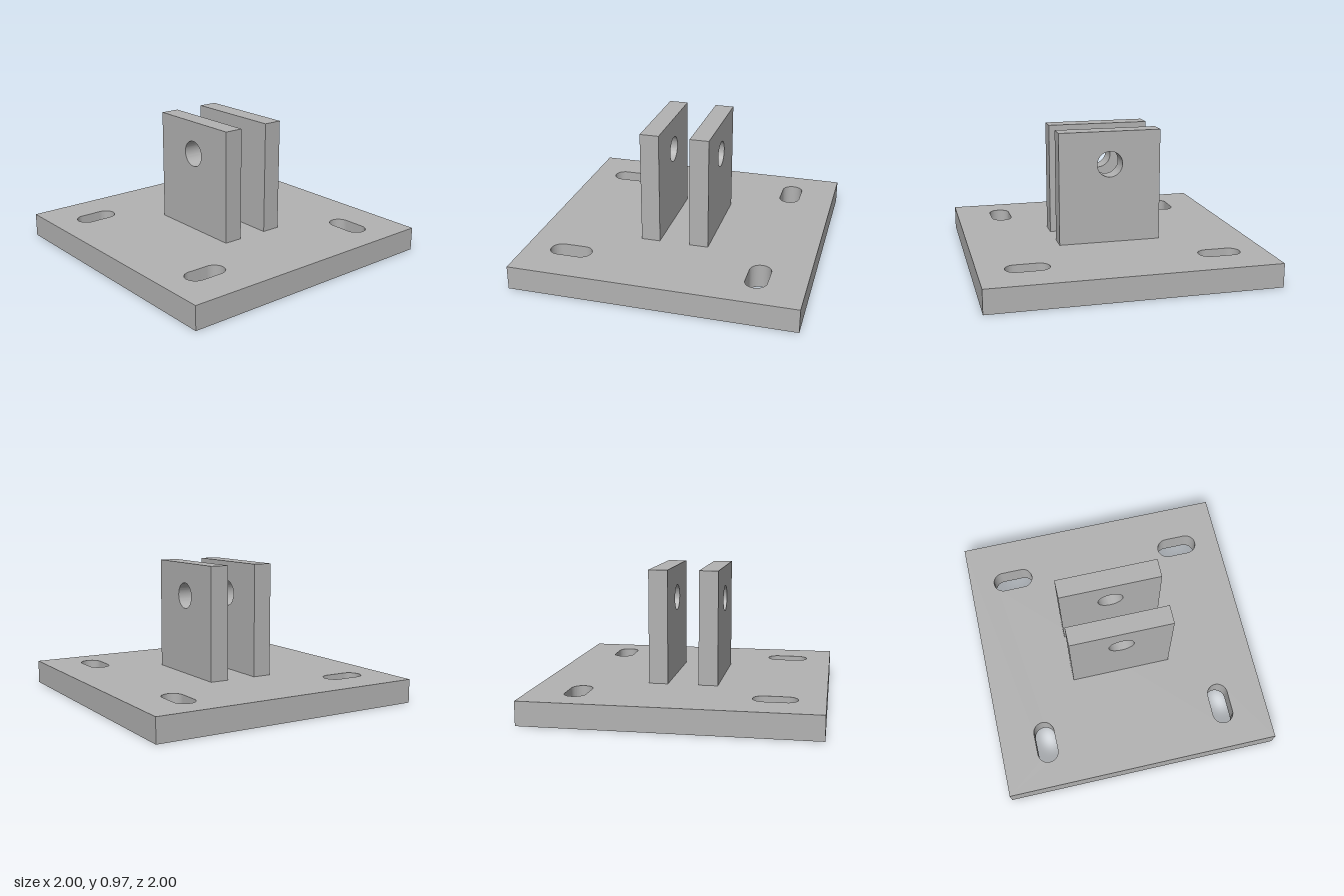
import * as THREE from 'three';
import { toCreasedNormals } from 'three/addons/utils/BufferGeometryUtils.js';

const PLATE_H = 0.168, LUG_TOP = 0.97, LUG_T = 0.135, LUG_HALF = 0.367;
const SLOT_R = 0.075, SLOT_HALF = 0.076, SLOT_POS = 0.667;

// Rectangle outline from two corners
function rect(x0, y0, x1, y1) {
  return new THREE.Shape([
    new THREE.Vector2(x0, y0), new THREE.Vector2(x1, y0),
    new THREE.Vector2(x1, y1), new THREE.Vector2(x0, y1),
  ]);
}

// Round-ended slot, lying along x or y
function slot(cx, cy, alongX) {
  const a = alongX ? 0 : Math.PI / 2;
  const dx = Math.cos(a) * SLOT_HALF, dy = Math.sin(a) * SLOT_HALF;
  const path = new THREE.Path();
  path.absarc(cx + dx, cy + dy, SLOT_R, a - Math.PI / 2, a + Math.PI / 2, false);
  path.absarc(cx - dx, cy - dy, SLOT_R, a + Math.PI / 2, a + Math.PI * 1.5, false);
  path.closePath();
  return path;
}

// Straight extrusion with smooth hole walls and sharp edges
function extrude(shape, depth) {
  const geo = new THREE.ExtrudeGeometry(shape, { depth, bevelEnabled: false, curveSegments: 32 });
  return toCreasedNormals(geo, 0.6);
}

export function createModel() {
  const group = new THREE.Group();
  const steel = new THREE.MeshStandardMaterial({ color: 0xb2b2b2 });
  steel.name = 'grey steel';

  // Base plate: slots run along x on the right side, along z on the left
  const plate = rect(-1, -1, 1, 1);
  for (const sx of [-1, 1]) {
    for (const sz of [-1, 1]) plate.holes.push(slot(sx * SLOT_POS, sz * SLOT_POS, sx < 0));
  }
  const basePlate = new THREE.Mesh(extrude(plate, PLATE_H).rotateX(-Math.PI / 2), steel);
  basePlate.name = 'basePlate';
  group.add(basePlate);

  // Two upright lugs with a shared pin hole
  const lug = rect(-LUG_HALF, PLATE_H, LUG_HALF, LUG_TOP);
  lug.holes.push(new THREE.Path().absarc(0, 0.735, 0.092, 0, Math.PI * 2, false));
  const lugGeo = extrude(lug, LUG_T).translate(0, 0, -LUG_T / 2).rotateY(Math.PI / 2);
  for (const [name, x] of [['rightLug', -0.177], ['leftLug', 0.177]]) {
    const mesh = new THREE.Mesh(lugGeo, steel);
    mesh.name = name;
    mesh.position.x = x;
    group.add(mesh);
  }
  return group;
}
